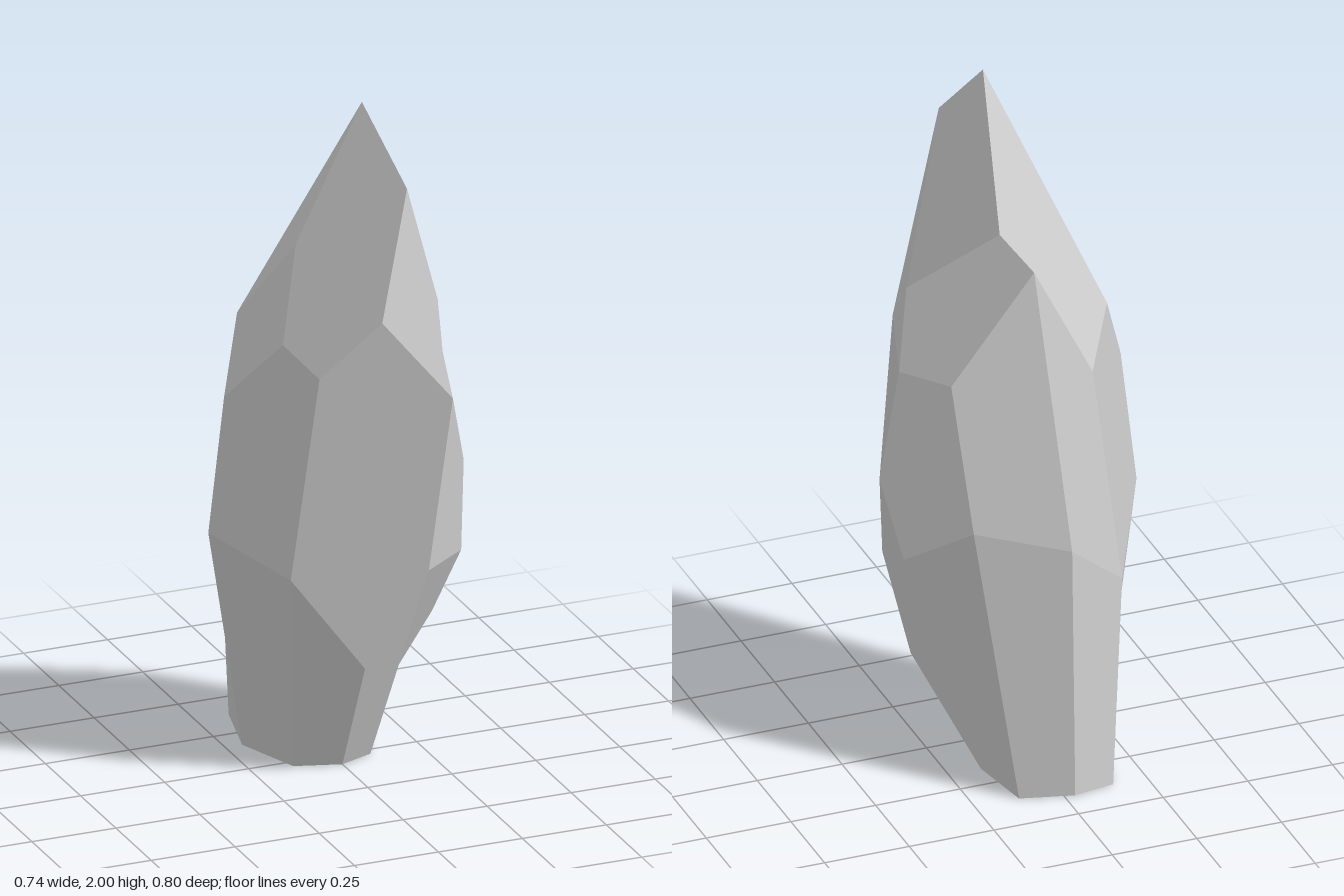
import * as THREE from 'three';

// Corners of the crystal, from the tip down to the base ring (a-h)
const corners = {
  // tip and upper shoulder
  A: [0.02, 2, 0.16], B: [0.08, 1.8, 0.337], C: [-0.02, 1.44, 0.4], D: [0.05, 1.59, -0.04],
  E: [-0.012, 1.51, -0.14], F: [-0.14, 1.57, 0.072], G: [-0.255, 1.33, -0.07], H: [-0.155, 1.21, -0.215],
  I: [-0.22, 1.32, 0.172], J: [-0.167, 1.26, 0.305], M: [0.252, 1.37, 0.145],
  // widest band
  K: [-0.325, 1.12, 0.005], N: [0.287, 1.13, 0.112], P: [0.207, 1.165, 0.36], Q: [0.215, 1.175, -0.095],
  L: [-0.37, 0.72, 0], O: [0.368, 0.84, 0.053], R: [0.21, 0.79, -0.25], S: [0.355, 0.66, -0.095],
  T: [0.345, 0.59, 0.09], U: [-0.025, 0.76, -0.39], Z: [-0.23, 0.56, -0.245],
  // lower band
  V: [0.325, 0.35, -0.07], W: [0.187, 0.61, 0.237], X: [0, 0.345, 0.23], Y: [-0.2, 0.62, 0.18],
  // base ring
  a: [0, 0, 0.07], b: [0.1, 0, 0.03], c: [0.155, 0, -0.165], d: [0.12, 0, -0.36],
  e: [-0.03, 0, -0.4], f: [-0.15, 0, -0.38], g: [-0.2, 0, -0.165], h: [-0.13, 0, 0.03],
};

// Each cut facet is a loop of corners
const facets = [
  'ABMD', 'AFIJCB', 'ADEHGF',                           // tip
  'BCPNM', 'DMNQE', 'FGKI',                             // shoulder
  'HGKLZ', 'EHZU', 'EQRU', 'IKLYJ', 'CPWXYJ', 'PNOTW',  // long sides
  'NOSRQ', 'OSVT',
  'XWba', 'WTVcb', 'VSRdc', 'RUed', 'UZfe', 'ZLgf', 'LYhg', 'YXah', // foot
  'abcdefgh',                                           // base
];

function createFacetGeometry() {
  const positions = [], normals = [];
  const middle = new THREE.Vector3(0, 0.8, 0);

  for (const loop of facets) {
    const pts = [...loop].map((key) => new THREE.Vector3(...corners[key]));

    // One mean normal per facet keeps it evenly shaded
    const normal = new THREE.Vector3(), centre = new THREE.Vector3();
    pts.forEach((p, i) => {
      normal.add(p.clone().cross(pts[(i + 1) % pts.length]));
      centre.addScaledVector(p, 1 / pts.length);
    });
    normal.normalize();

    // Turn the loop so that it faces outward
    if (normal.dot(centre.sub(middle)) < 0) {
      pts.reverse();
      pts.unshift(pts.pop()); // keep the same first corner for the fan
      normal.negate();
    }

    for (let i = 1; i < pts.length - 1; i++) {
      for (const p of [pts[0], pts[i], pts[i + 1]]) {
        positions.push(p.x, p.y, p.z);
        normals.push(normal.x, normal.y, normal.z);
      }
    }
  }

  const geometry = new THREE.BufferGeometry();
  geometry.setAttribute('position', new THREE.Float32BufferAttribute(positions, 3));
  geometry.setAttribute('normal', new THREE.Float32BufferAttribute(normals, 3));
  return geometry;
}

export function createModel() {
  const group = new THREE.Group();
  group.name = 'crystalShard';
  const shard = new THREE.Mesh(
    createFacetGeometry(),
    new THREE.MeshStandardMaterial({ color: 0xcccccc }),
  );
  shard.name = 'shard';
  group.add(shard);
  return group;
}
